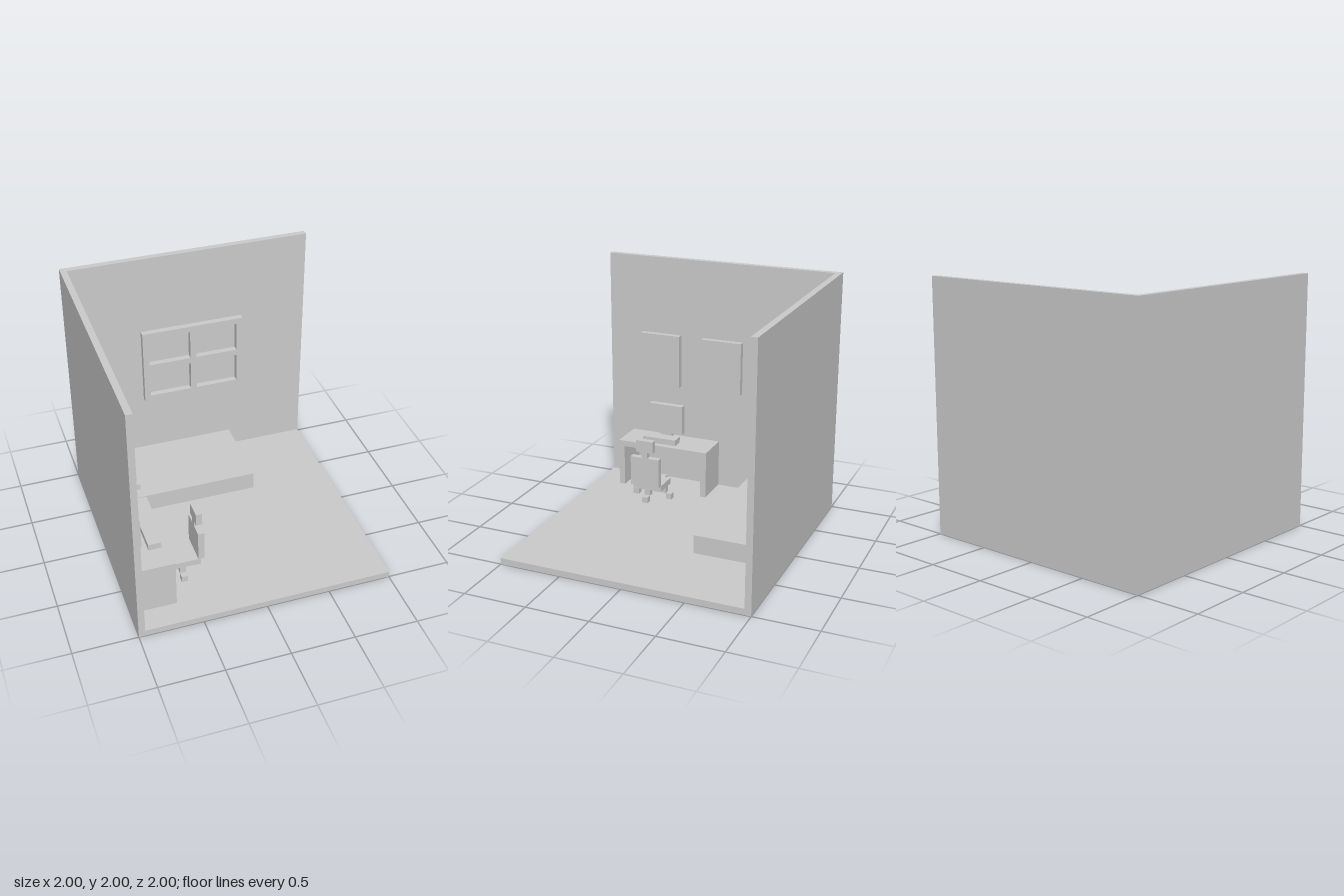
import * as THREE from 'three';

const material = new THREE.MeshStandardMaterial({ color: 0xcccccc, flatShading: true });

// Box given by its [min, max] extent on each axis
function box(parent, name, [x0, x1], [y0, y1], [z0, z1]) {
  const mesh = new THREE.Mesh(new THREE.BoxGeometry(x1 - x0, y1 - y0, z1 - z0), material);
  mesh.position.set((x0 + x1) / 2, (y0 + y1) / 2, (z0 + z1) / 2);
  mesh.name = name;
  parent.add(mesh);
}

function group(parent, name) {
  const g = new THREE.Group();
  g.name = name;
  parent.add(g);
  return g;
}

function rectangle(path, x0, x1, y0, y1) {
  path.moveTo(x0, y0);
  path.lineTo(x1, y0);
  path.lineTo(x1, y1);
  path.lineTo(x0, y1);
  path.closePath();
  return path;
}

export function createModel() {
  const room = new THREE.Group();
  room.name = 'room';

  // Floor and two walls
  box(room, 'floor', [-1, 1], [0, 0.05], [-1, 1]);
  box(room, 'sideWall', [-1, -0.95], [0.05, 2], [-1, 1]);
  box(room, 'backWall', [-0.95, 1], [0.05, 2], [-1, -0.95]);

  // Window frame with four openings
  const frame = rectangle(new THREE.Shape(), -0.4, 0.45, 0.7, 1.35);
  for (const x of [-0.35, 0.05])
    for (const y of [0.75, 1.05])
      frame.holes.push(rectangle(new THREE.Path(), x, x + 0.35, y, y + 0.25));
  const windowFrame = new THREE.Mesh(
    new THREE.ExtrudeGeometry(frame, { depth: 0.05, bevelEnabled: false }), material);
  windowFrame.position.z = -0.95;
  windowFrame.name = 'windowFrame';
  room.add(windowFrame);

  // Wall pictures
  for (const z of [-0.75, -0.2, 0.35])
    box(room, 'wallPicture', [-0.95, -0.9], [0.9, 1.35], [z, z + 0.35]);

  // Bed
  const bed = group(room, 'bed');
  box(bed, 'headboard', [-0.95, -0.9], [0.05, 0.5], [-0.95, -0.3]);
  box(bed, 'mattress', [-0.9, 0.35], [0.05, 0.2], [-0.95, -0.3]);
  box(bed, 'pillow', [-0.9, -0.6], [0.2, 0.25], [-0.9, -0.4]);

  // Desk with screen and keyboard
  const desk = group(room, 'desk');
  box(desk, 'deskTop', [-0.95, -0.65], [0.4, 0.45], [0, 0.8]);
  for (const z of [0, 0.75])
    box(desk, 'deskSide', [-0.95, -0.65], [0.05, 0.4], [z, z + 0.05]);
  box(desk, 'screenStand', [-0.9, -0.85], [0.45, 0.5], [0.4, 0.5]);
  box(desk, 'screen', [-0.9, -0.85], [0.5, 0.75], [0.3, 0.6]);
  box(desk, 'keyboard', [-0.8, -0.7], [0.45, 0.5], [0.3, 0.6]);

  // Chair
  const chair = group(room, 'chair');
  box(chair, 'seat', [-0.6, -0.4], [0.15, 0.2], [0.3, 0.55]);
  box(chair, 'seatFront', [-0.65, -0.6], [0.15, 0.2], [0.35, 0.5]);
  box(chair, 'backrest', [-0.4, -0.35], [0.2, 0.45], [0.3, 0.55]);
  box(chair, 'headrestPost', [-0.4, -0.35], [0.45, 0.5], [0.4, 0.45]);
  box(chair, 'headrest', [-0.4, -0.35], [0.5, 0.6], [0.35, 0.5]);

  // Four legs, each with a wheel one step further out: [x, z, step x, step z]
  for (const [x, z, dx, dz] of [
    [-0.6, 0.4, -0.05, 0], [-0.45, 0.4, 0.05, 0],
    [-0.55, 0.3, 0, -0.05], [-0.55, 0.5, 0, 0.05],
  ]) {
    box(chair, 'chairLeg', [x, x + 0.05], [0.1, 0.15], [z, z + 0.05]);
    box(chair, 'chairWheel', [x + dx, x + dx + 0.05], [0.05, 0.1], [z + dz, z + dz + 0.05]);
  }

  return room;
}
